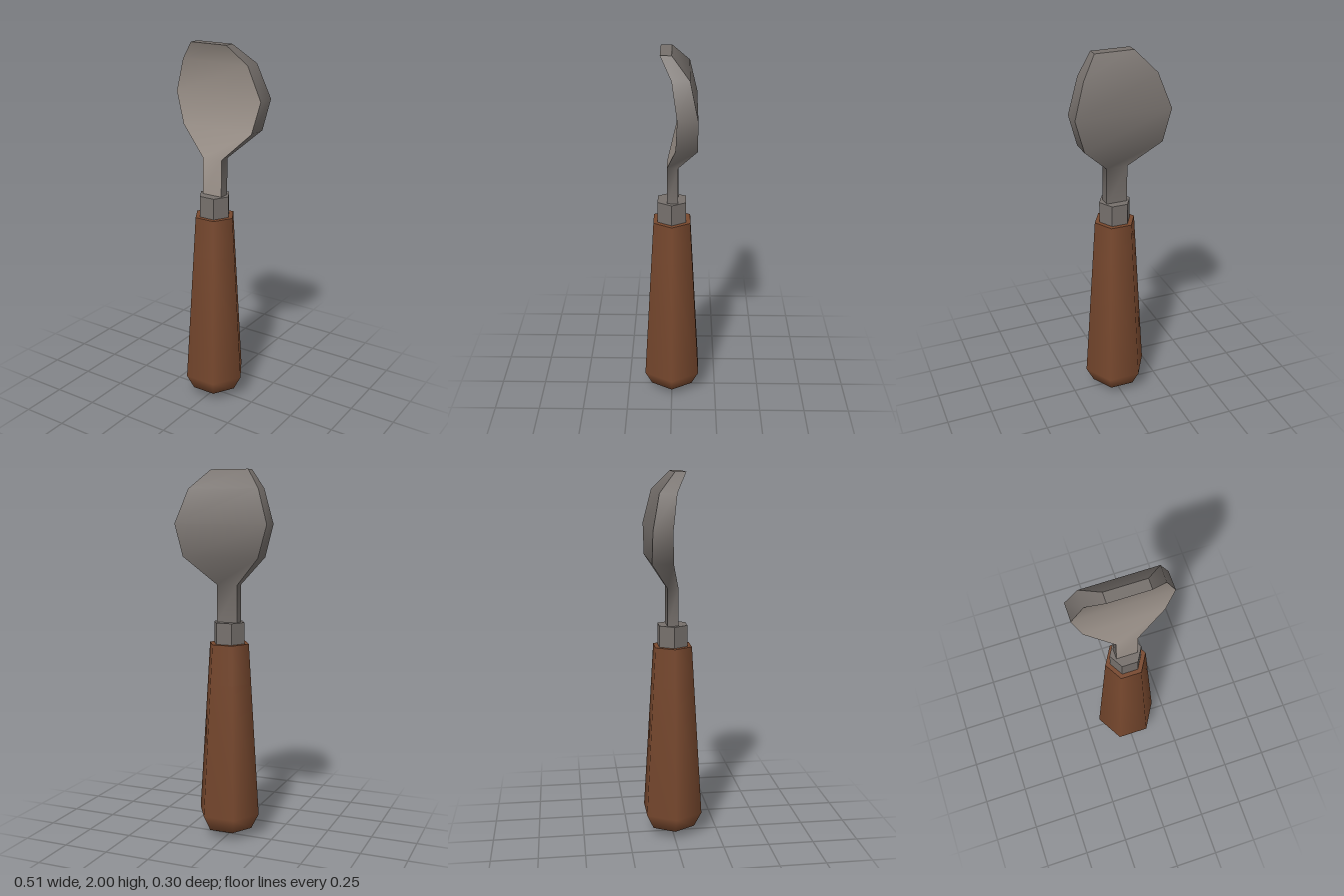
import * as THREE from 'three';

const wood = new THREE.MeshStandardMaterial({ color: 0x77482e });
wood.name = 'brown wood';
const steel = new THREE.MeshStandardMaterial({ color: 0x76706c });
steel.name = 'dark steel';
const polished = new THREE.MeshStandardMaterial({ color: 0xa0968e });
polished.name = 'polished steel';

// Cross-sections of the blade from neck to tip: y, half width, front z, back z
const sections = [
  [1.19, 0.058, 0.025, -0.033],
  [1.4, 0.058, 0.025, -0.033],
  [1.55, 0.21, -0.02, -0.13],
  [1.72, 0.257, -0.028, -0.13],
  [1.9, 0.195, 0.0, -0.09],
  [2.0, 0.105, 0.057, 0.0],
];

// Smooth strip between two rails; rail a lies on the left when seen from outside
function strip(a, b) {
  const pos = [];
  const index = [];
  a.forEach((p, i) => {
    pos.push(...p, ...b[i]);
    if (i > 0) {
      const k = 2 * i;
      index.push(k - 2, k - 1, k + 1, k - 2, k + 1, k);
    }
  });
  const g = new THREE.BufferGeometry();
  g.setAttribute('position', new THREE.Float32BufferAttribute(pos, 3));
  g.setIndex(index);
  g.computeVertexNormals();
  return g;
}

export function createModel() {
  const model = new THREE.Group();
  model.name = 'scoop';
  const add = (name, geometry, material, parent = model) => {
    const mesh = new THREE.Mesh(geometry, material);
    mesh.name = name;
    parent.add(mesh);
    return mesh;
  };

  // Tapered six-sided handle with softened sides and a pointed butt
  const profile = [[0, 0.005], [0.132, 0.055], [0.175, 0.14], [0.127, 0.87], [0.113, 1.085]]
    .map(([r, y]) => new THREE.Vector2(r, y));
  add('handle', new THREE.LatheGeometry(profile, 6, Math.PI / 2), wood);
  const top = add('handleTop', new THREE.CircleGeometry(0.113, 6).rotateX(-Math.PI / 2), wood);
  top.position.y = 1.085;

  // Hexagonal metal collar with sharp edges
  const collar = new THREE.CylinderGeometry(0.087, 0.087, 0.12, 6, 1, false, Math.PI / 2);
  const flat = collar.toNonIndexed();
  flat.computeVertexNormals();
  add('collar', flat, steel).position.y = 1.14;

  // Neck and curved bowl, one strip for each side
  const blade = new THREE.Group();
  blade.name = 'bowlAndNeck';
  model.add(blade);
  const rail = (side, zIndex) => sections.map((s) => [side * s[1], s[0], s[zIndex]]);
  const fl = rail(-1, 2), fr = rail(1, 2), bl = rail(-1, 3), br = rail(1, 3);
  add('bowlFront', strip(fl, fr), polished, blade);
  add('bowlBack', strip(br, bl), steel, blade);
  add('bowlLeftEdge', strip(fr, br), steel, blade);
  add('bowlRightEdge', strip(bl, fl), steel, blade);
  const last = sections.length - 1;
  add('bowlTip', strip([fl[last], bl[last]], [fr[last], br[last]]), steel, blade);

  return model;
}
